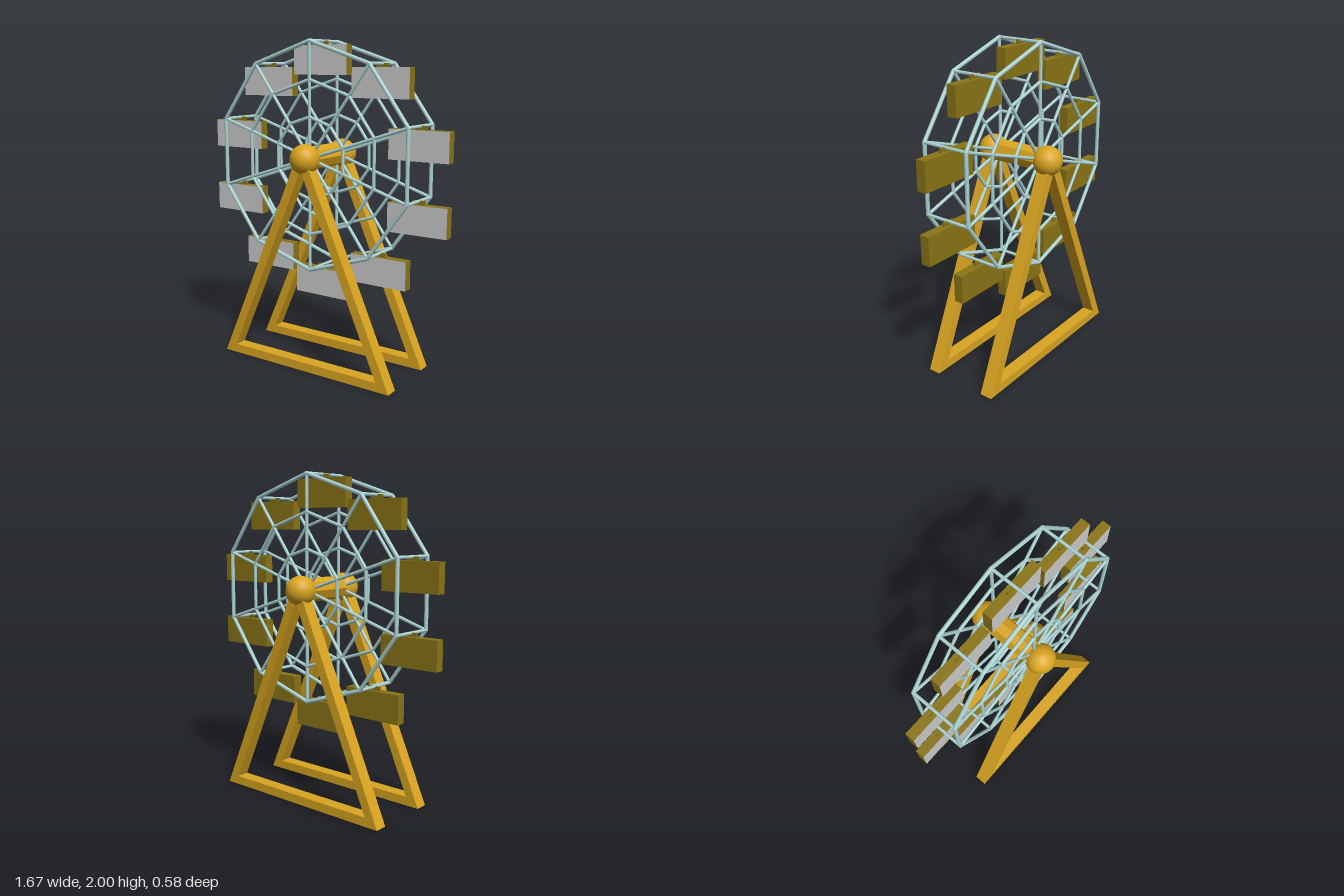
import * as THREE from 'three';

const CENTER_Y = 1.305, RADIUS = 0.683, SIDES = 10;
const FRONT_Z = 0.15, BACK_Z = -0.145;

const paint = (color, flatShading = false) => {
  const m = new THREE.MeshStandardMaterial({ color });
  m.flatShading = flatShading;
  return m;
};

function add(parent, name, geometry, material, x = 0, y = 0, z = 0) {
  const mesh = new THREE.Mesh(geometry, material);
  mesh.name = name;
  mesh.position.set(x, y, z);
  parent.add(mesh);
  return mesh;
}

// Round bar between two points
function bar(parent, name, a, b, radius, material) {
  const dir = b.clone().sub(a);
  const mesh = add(parent, name, new THREE.CylinderGeometry(radius, radius, dir.length(), 8), material);
  mesh.position.copy(a).add(b).multiplyScalar(0.5);
  mesh.quaternion.setFromUnitVectors(new THREE.Vector3(0, 1, 0), dir.normalize());
  return mesh;
}

// Corner i of a wheel ring, counted clockwise from the top
function corner(i, radius, z) {
  const a = (i / SIDES) * Math.PI * 2;
  return new THREE.Vector3(Math.sin(a) * radius, CENTER_Y + Math.cos(a) * radius, z);
}

// Triangular frame with an open middle
function frameGeometry(depth) {
  const triangle = (Type, w, y0, y1) => {
    const p = new Type();
    p.moveTo(-w, y0);
    p.lineTo(w, y0);
    p.lineTo(0, y1);
    p.closePath();
    return p;
  };
  const shape = triangle(THREE.Shape, 0.61, 0, 1.385);
  shape.holes.push(triangle(THREE.Path, 0.523, 0.055, 1.245));
  return new THREE.ExtrudeGeometry(shape, { depth, bevelEnabled: false }).translate(0, 0, -depth / 2);
}

export function createModel() {
  const model = new THREE.Group();
  model.name = 'ferrisWheel';
  const gold = paint(0xdaa520), goldFlat = paint(0xdaa520, true);
  const steel = paint(0xaed6d6), olive = paint(0x8b7516), grey = paint(0xcccccc);

  // Supports with round hub caps
  const support = new THREE.Group();
  support.name = 'support';
  model.add(support);
  for (const [side, s] of [['front', 1], ['back', -1]]) {
    add(support, side + 'Frame', frameGeometry(0.08), gold, 0, 0, s * 0.207);
    add(support, side + 'HubCap', new THREE.SphereGeometry(0.09, 32, 20), gold, 0, CENTER_Y, s * 0.202);
  }
  const axle = add(support, 'axle', new THREE.CylinderGeometry(0.072, 0.072, 0.4, 8), goldFlat, 0, CENTER_Y, 0);
  axle.rotation.x = Math.PI / 2;

  // Two wheel sides: three rings and the spokes
  const wheel = new THREE.Group();
  wheel.name = 'wheel';
  model.add(wheel);
  const rings = [['rim', RADIUS, 0.012], ['middleRing', 0.462, 0.01], ['innerRing', 0.245, 0.01]];
  for (const z of [FRONT_Z, BACK_Z]) {
    for (let i = 0; i < SIDES; i++) {
      for (const [name, r, t] of rings) {
        bar(wheel, name, corner(i, r, z), corner(i + 1, r, z), t, steel);
        const p = corner(i, r, z);
        add(wheel, name + 'Joint', new THREE.SphereGeometry(t, 8, 6), steel, p.x, p.y, p.z);
      }
      bar(wheel, 'spoke', corner(i, 0, z), corner(i, RADIUS, z), 0.01, steel);
    }
  }

  // Crossbars, each with a hanging cabin
  const cabinBox = new THREE.BoxGeometry(0.375, 0.175, 0.06);
  const hangerBox = new THREE.BoxGeometry(0.08, 0.03, 0.012);
  const cabinMaterials = [olive, olive, olive, olive, grey, olive];
  for (let i = 0; i < SIDES; i++) {
    bar(wheel, 'crossbar', corner(i, RADIUS, BACK_Z), corner(i, RADIUS, FRONT_Z), 0.01, steel);
    const p = corner(i, RADIUS, 0);
    const cabin = new THREE.Group();
    cabin.name = 'cabin';
    cabin.position.set(i === 0 ? -0.01 : p.x, p.y, 0);
    add(cabin, 'cabinBody', cabinBox, cabinMaterials, 0, -0.108, 0);
    add(cabin, 'hanger', hangerBox, olive, 0, -0.012, 0);
    model.add(cabin);
  }
  return model;
}
